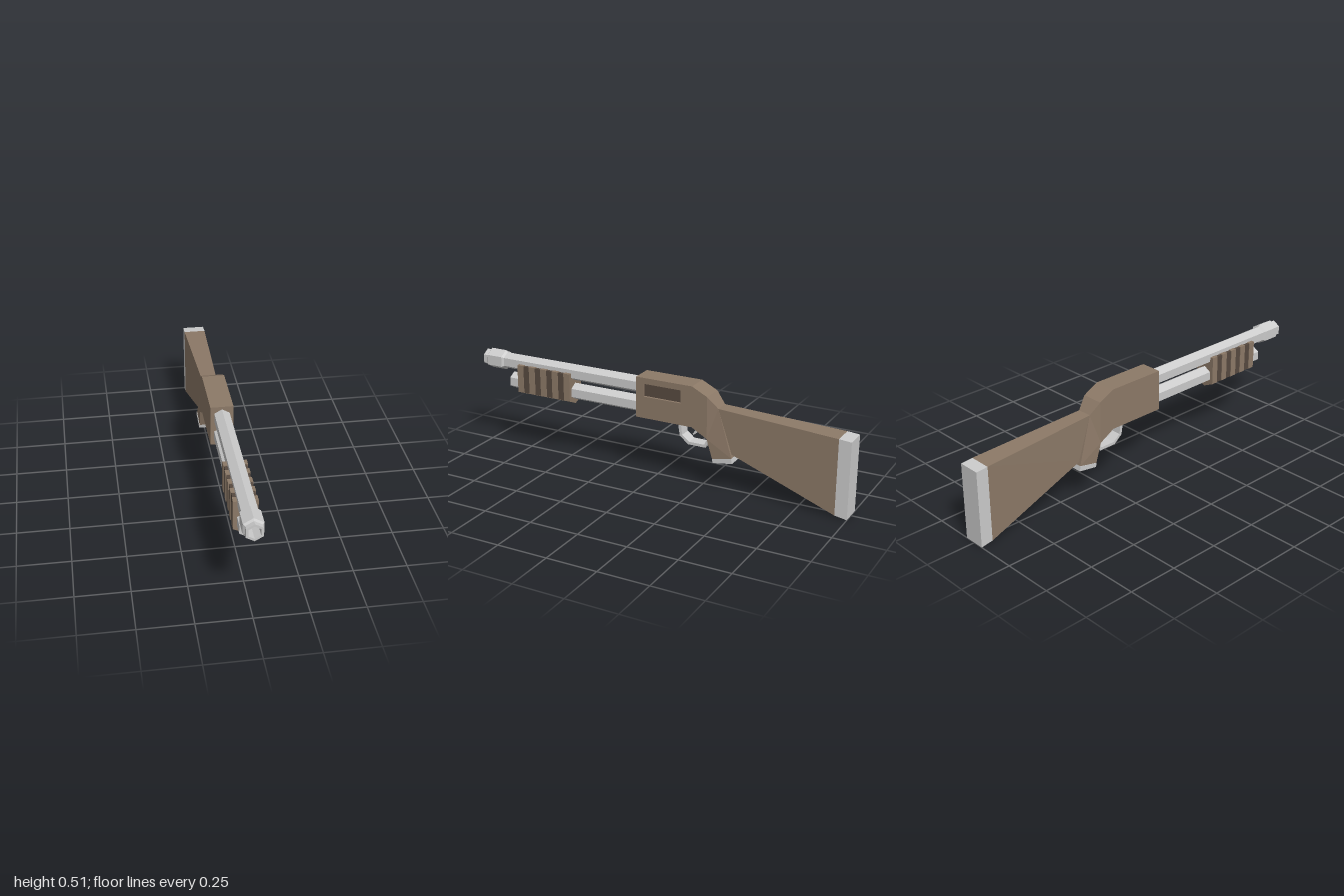
import * as THREE from 'three';

const material = (color) => new THREE.MeshStandardMaterial({ color, flatShading: true });

export function createModel() {
  const group = new THREE.Group();
  const wood = material(0x8c7967);
  const dark = material(0x574a40);
  const metal = material(0xcccccc);

  const add = (name, geometry, mat) => {
    const mesh = new THREE.Mesh(geometry, mat);
    mesh.name = name;
    group.add(mesh);
    return mesh;
  };

  // Side outline of [z, y, halfWidth] points, mirrored about x = 0.
  const slab = (name, points, mat, width) => {
    const shape = new THREE.Shape(points.map(([z, y]) => new THREE.Vector2(-z, y)));
    const geometry = new THREE.ExtrudeGeometry(shape, { depth: 1, bevelEnabled: false });
    geometry.rotateY(Math.PI / 2);
    const pos = geometry.attributes.position;
    for (let i = 0; i < pos.count; i++) {
      const match = points.find(([z, y]) => Math.hypot(z - pos.getZ(i), y - pos.getY(i)) < 1e-4);
      const half = match?.[2] ?? width;
      pos.setX(i, pos.getX(i) > 0.5 ? half : -half);
    }
    geometry.computeVertexNormals();
    return add(name, geometry, mat);
  };

  // Six-sided turned part along z from [radius, z] points.
  const hexTube = (name, points, y) => {
    const geometry = new THREE.LatheGeometry(points.map((p) => new THREE.Vector2(...p)), 6);
    geometry.rotateX(Math.PI / 2);
    geometry.translate(0, y, 0);
    return add(name, geometry, metal);
  };

  // Barrel with muzzle collar and bore, and magazine tube below it
  hexTube('barrel', [
    [0, 0.05], [0.042, 0.05], [0.042, 0.875], [0.052, 0.885], [0.052, 0.97],
    [0.043, 0.978], [0.043, 1], [0.031, 1], [0.031, 0.9], [0, 0.9],
  ], 0.455);
  hexTube('magazineTube', [
    [0, 0.05], [0.043, 0.05], [0.043, 0.84], [0.029, 0.84], [0.029, 0.78], [0, 0.78],
  ], 0.356);

  // Receiver: solid core, with a plate on the left that frames the ejection port
  const core = new THREE.BoxGeometry(0.095, 0.205, 0.3);
  core.translate(-0.0075, 0.4075, -0.06);
  add('receiver', core, wood);
  const rectangle = (Type, z0, z1, y0, y1) => new Type([
    new THREE.Vector2(-z1, y0), new THREE.Vector2(-z0, y0),
    new THREE.Vector2(-z0, y1), new THREE.Vector2(-z1, y1),
  ]);
  const plate = rectangle(THREE.Shape, -0.21, 0.09, 0.305, 0.51);
  plate.holes.push(rectangle(THREE.Path, -0.15, 0.05, 0.415, 0.48));
  const plateGeometry = new THREE.ExtrudeGeometry(plate, { depth: 0.015, bevelEnabled: false });
  plateGeometry.rotateY(Math.PI / 2);
  plateGeometry.translate(0.04, 0, 0);
  add('receiverSidePlate', plateGeometry, wood);
  const port = new THREE.BoxGeometry(0.004, 0.065, 0.2);
  port.translate(0.041, 0.4475, -0.05);
  add('ejectionPort', port, dark);

  // Receiver tail, pinched wrist with grip, and flared stock
  slab('receiverTail', [[-0.21, 0.51], [-0.29, 0.47], [-0.29, 0.26], [-0.21, 0.305]], wood, 0.055);
  slab('grip', [
    [-0.29, 0.47, 0.055], [-0.34, 0.415, 0.037], [-0.42, 0.185, 0.055],
    [-0.32, 0.165, 0.055], [-0.29, 0.26, 0.055],
  ], wood);
  slab('gripCap', [[-0.32, 0.165], [-0.42, 0.185], [-0.425, 0.16], [-0.325, 0.145]], metal, 0.057);
  slab('stock', [
    [-0.34, 0.415, 0.037], [-0.94, 0.385, 0.055], [-0.94, 0.01, 0.055], [-0.4, 0.205, 0.04],
  ], wood);
  slab('buttPad', [[-0.94, 0.385], [-1, 0.38], [-1, 0], [-0.94, 0.01]], metal, 0.055);

  // Trigger and its guard
  slab('triggerGuard', [
    [-0.125, 0.305], [-0.135, 0.24], [-0.18, 0.203], [-0.272, 0.203], [-0.302, 0.26],
    [-0.29, 0.265], [-0.265, 0.217], [-0.185, 0.217], [-0.148, 0.246], [-0.14, 0.305],
  ], metal, 0.03);
  slab('trigger', [
    [-0.21, 0.31], [-0.24, 0.3], [-0.225, 0.27], [-0.2, 0.248], [-0.195, 0.255], [-0.213, 0.278],
  ], metal, 0.012);

  // Pump fore-end: nine ribs, alternately wood and slightly recessed dark
  const ribLength = 0.31 / 9;
  for (let i = 0; i < 9; i++) {
    const groove = i % 2 === 1;
    const w = groove ? 0.052 : 0.055;
    const drop = groove ? 0.003 : 0;
    const section = new THREE.Shape([
      [-w, 0.458 - drop], [-w, 0.315], [0, 0.29 + drop], [w, 0.315], [w, 0.458 - drop],
    ].map((p) => new THREE.Vector2(...p)));
    const rib = new THREE.ExtrudeGeometry(section, { depth: ribLength, bevelEnabled: false });
    rib.translate(0, 0, 0.47 + i * ribLength);
    add(groove ? 'pumpGroove' : 'pumpRib', rib, groove ? dark : wood);
  }

  return group;
}
